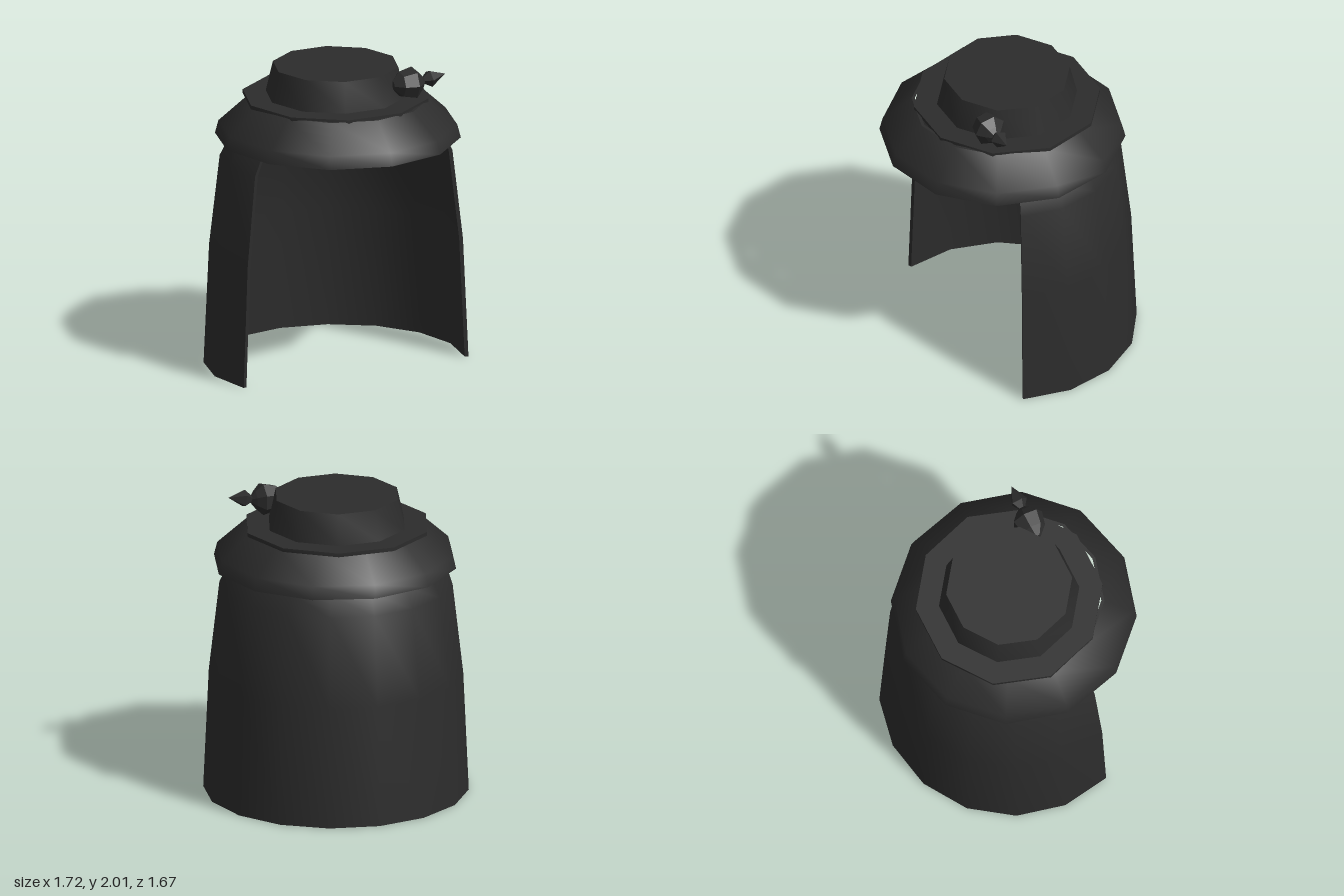
import * as THREE from 'three';
import { toCreasedNormals } from 'three/addons/utils/BufferGeometryUtils.js';

const charcoal = new THREE.MeshStandardMaterial({ color: 0x2c2c2c, side: THREE.DoubleSide });
charcoal.name = 'charcoal cloth';

const CREASE = 0.72;
const toPoints = (list) => list.map(([r, y]) => new THREE.Vector2(r, y));

// Closed band of cloth: outer profile going up, inner profile coming back down
function shellProfile(outer, thickness) {
  const inner = outer.map(([r, y]) => [r - thickness, y]).reverse();
  return toPoints([...outer, ...inner, outer[0]]);
}

function addMesh(parent, name, geometry) {
  const mesh = new THREE.Mesh(toCreasedNormals(geometry, CREASE), charcoal);
  mesh.name = name;
  parent.add(mesh);
  return mesh;
}

// Faceted body turned around the x axis, given as [x, radius] pairs
function facetedSpindle(profile, sides) {
  const geometry = new THREE.LatheGeometry(toPoints(profile.map(([x, r]) => [r, x])), sides);
  geometry.rotateZ(-Math.PI / 2);
  const flat = geometry.toNonIndexed();
  flat.computeVertexNormals();
  return flat;
}

function createCloak() {
  const cloak = new THREE.Group();
  cloak.name = 'cloak';
  const profile = shellProfile(
    [[0.862, 0], [0.826, 0.8], [0.757, 1.4], [0.69, 1.53], [0.56, 1.75]], 0.025);
  const start = THREE.MathUtils.degToRad(70);
  const sweep = THREE.MathUtils.degToRad(220);
  addMesh(cloak, 'cloakShell', new THREE.LatheGeometry(profile, 10, start, sweep));

  // Front hems closing the two open ends
  const hem = new THREE.Shape(profile);
  for (const [name, angle] of [['leftHem', start], ['rightHem', start + sweep]]) {
    const geometry = new THREE.ShapeGeometry(hem);
    geometry.rotateY(angle - Math.PI / 2);
    addMesh(cloak, name, geometry);
  }
  cloak.scale.z = 0.985;
  cloak.position.z = 0.01;
  return cloak;
}

function createCapelet() {
  const capelet = new THREE.Group();
  capelet.name = 'capelet';
  const profile = shellProfile([[0.797, 1.53], [0.775, 1.615], [0.588, 1.785]], 0.02);
  addMesh(capelet, 'shoulderCape', new THREE.LatheGeometry(profile, 12));
  capelet.position.z = 0.033;
  return capelet;
}

function createHat() {
  const hat = new THREE.Group();
  hat.name = 'hat';
  const brim = [[0, 1.775], [0.61, 1.775], [0.61, 1.8], [0, 1.8]];
  const crown = [[0.46, 1.795], [0.412, 2], [0, 2]];
  addMesh(hat, 'brim', new THREE.LatheGeometry(toPoints(brim), 10, Math.PI / 2));
  addMesh(hat, 'crown', new THREE.LatheGeometry(toPoints(crown), 10, Math.PI / 2));
  return hat;
}

// Small faceted bud with a pointed leaf on the side of the crown
function createOrnament() {
  const ornament = new THREE.Group();
  ornament.name = 'ornament';
  const bud = [[-0.12, 0], [-0.115, 0.03], [-0.06, 0.085], [0.03, 0.107], [0.08, 0.06], [0.11, 0.02]];
  const leaf = [[0.09, 0], [0.1, 0.018], [0.155, 0.058], [0.265, 0]];
  const budMesh = new THREE.Mesh(facetedSpindle(bud, 7), charcoal);
  budMesh.name = 'bud';
  const leafMesh = new THREE.Mesh(facetedSpindle(leaf, 5), charcoal);
  leafMesh.name = 'leaf';
  leafMesh.rotation.z = 0.16;
  leafMesh.position.y = -0.01;
  ornament.add(budMesh, leafMesh);
  ornament.position.set(0.367, 1.908, 0.325);
  return ornament;
}

export function createModel() {
  const model = new THREE.Group();
  model.name = 'hoodedCloakAndHat';
  model.add(createCloak(), createCapelet(), createHat(), createOrnament());
  return model;
}
